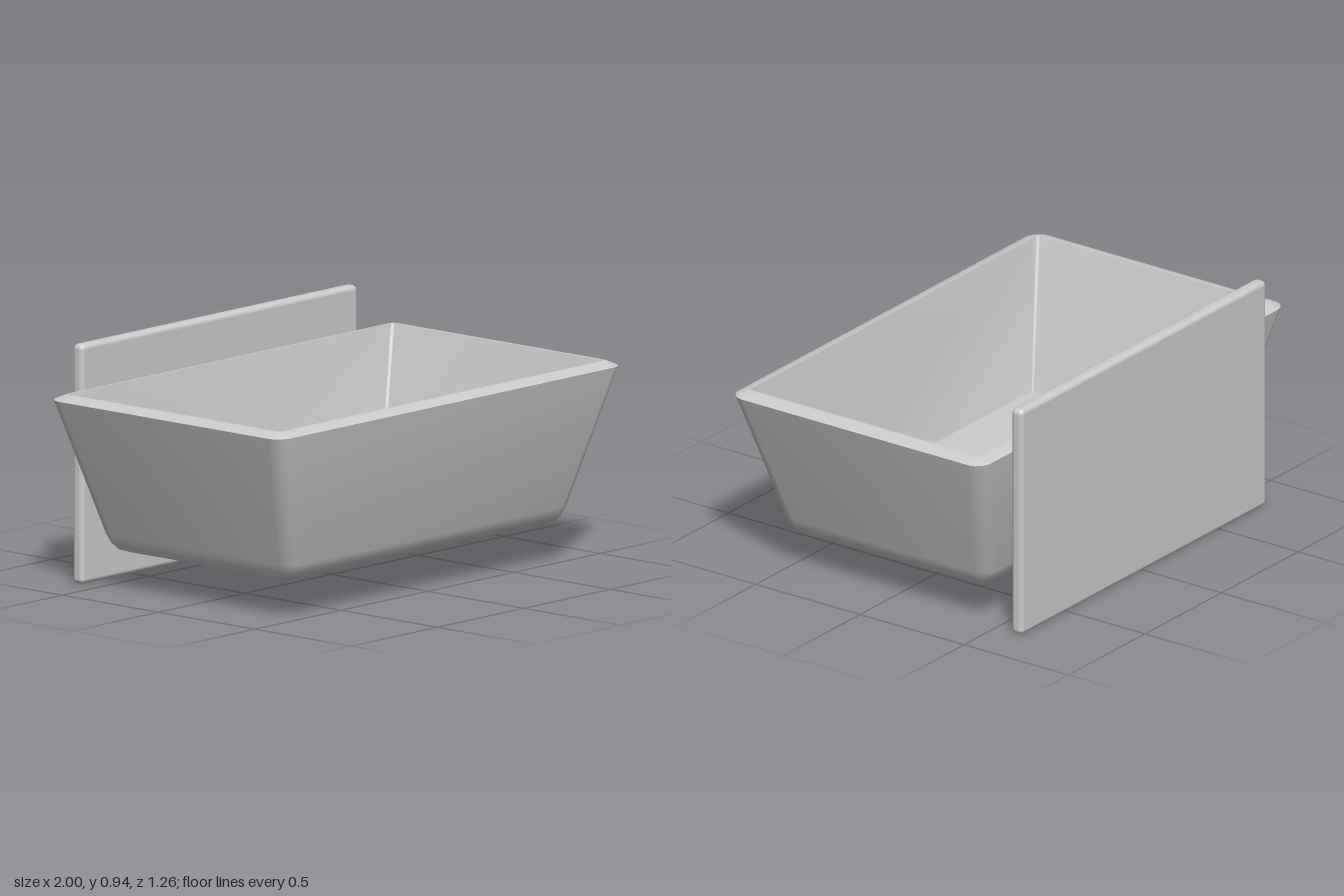
import * as THREE from 'three';
import { toCreasedNormals } from 'three/addons/utils/BufferGeometryUtils.js';
import { RoundedBoxGeometry } from 'three/addons/geometries/RoundedBoxGeometry.js';

const STEPS = 6; // segments per rounded corner

// Rounded rectangle in the horizontal plane, STEPS + 1 points per corner
function ring([hx, hz, r, y]) {
  const points = [];
  const signs = [[1, 1], [-1, 1], [-1, -1], [1, -1]];
  signs.forEach(([sx, sz], q) => {
    for (let i = 0; i <= STEPS; i++) {
      const a = (q + i / STEPS) * Math.PI / 2;
      points.push([sx * (hx - r) + r * Math.cos(a), y, sz * (hz - r) + r * Math.sin(a)]);
    }
  });
  return points;
}

// Skin through successive rings
function loft(sections) {
  const rings = sections.map(ring);
  const n = rings[0].length;
  const index = [];
  for (let i = 0; i < rings.length - 1; i++) {
    for (let j = 0; j < n; j++) {
      const a = i * n + j, b = i * n + (j + 1) % n;
      index.push(a, a + n, b, b, a + n, b + n);
    }
  }
  const geometry = new THREE.BufferGeometry();
  geometry.setAttribute('position', new THREE.Float32BufferAttribute(rings.flat(2), 3));
  geometry.setIndex(index);
  return toCreasedNormals(geometry, 0.55);
}

export function createModel() {
  const model = new THREE.Group();
  model.name = 'wallBasin';
  const material = new THREE.MeshStandardMaterial({ color: 0xcccccc });

  // Flared basin: half width, half depth, corner radius, height
  const basin = new THREE.Mesh(loft([
    [0, 0, 0, 0.15], // underside
    [0.74, 0.415, 0.03, 0.15],
    [0.75, 0.425, 0.035, 0.15],
    [0.78, 0.46, 0.05, 0.16],
    [0.8, 0.485, 0.06, 0.185],
    [0.815, 0.5, 0.065, 0.22],
    [1, 0.605, 0.065, 0.76], // outer rim edge
    [0.955, 0.56, 0.025, 0.78],
    [0.94, 0.55, 0.012, 0.78], // inner rim edge
    [0.75, 0.435, 0.006, 0.22], // inside floor
    [0, 0, 0, 0.22],
  ]), material);
  basin.name = 'basin';
  basin.position.z = 0.025;
  model.add(basin);

  // Mounting panel behind the basin
  const panel = new THREE.Mesh(new RoundedBoxGeometry(1.6, 0.945, 0.054, 3, 0.02), material);
  panel.name = 'backPanel';
  panel.position.set(0, 0.4725, -0.603);
  model.add(panel);

  return model;
}
